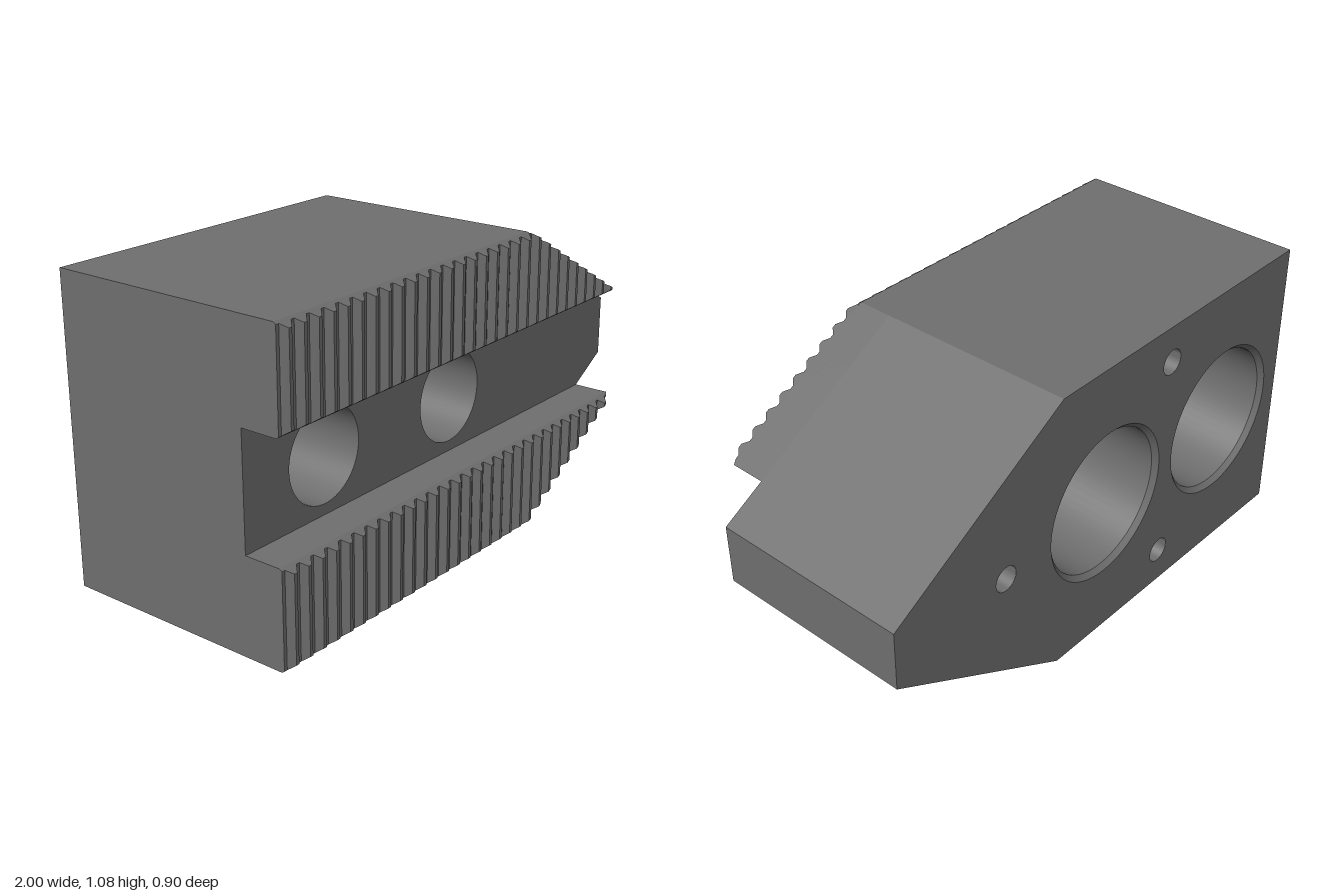
import * as THREE from 'three';
import { toCreasedNormals } from 'three/addons/utils/BufferGeometryUtils.js';

const H = 1.08, BACK = -0.45, GROOVE = 0.288, SHOULDER = 0.42, INNER = 0.74;
const BORES = [[-0.64, 0.54], [0.008, 0.54]];
const PINS = [[-0.315, 0.94], [-0.315, 0.14], [0.513, 0.54]];
const OUTLINE = [[-1, 0], [0.25, 0], [1, 0.43], [1, 0.65], [0.25, H], [-1, H]];
const slope = x => (x < 0.25 ? H : H - (x - 0.25) * (0.43 / 0.75));

// Flat-shaded geometry from a list of corner loops, each a convex polygon
function fromPolygons(polygons) {
  const pos = [];
  for (const p of polygons)
    for (let i = 1; i < p.length - 1; i++) pos.push(...p[0], ...p[i], ...p[i + 1]);
  const g = new THREE.BufferGeometry();
  g.setAttribute('position', new THREE.Float32BufferAttribute(pos, 3));
  g.computeVertexNormals();
  return g;
}

// Pointed plate outline with round holes [x, y, r]
function plateFace(holes) {
  const shape = new THREE.Shape(OUTLINE.map(p => new THREE.Vector2(...p)));
  for (const [x, y, r] of holes) {
    const hole = new THREE.Path();
    hole.absarc(x, y, r, 0, Math.PI * 2, true);
    shape.holes.push(hole);
  }
  return new THREE.ShapeGeometry(shape, 32);
}

// Turned hole lining; profile is [radius, z]
function lining(profile, segments) {
  const g = new THREE.LatheGeometry(profile.map(p => new THREE.Vector2(...p)), segments);
  g.rotateX(Math.PI / 2);
  return toCreasedNormals(g, 0.5);
}

// Serrated clamping rib; the lower one is the upper one mirrored in y
function ribGeometry(lower) {
  const pitch = 0.0625, end = 0.25 + (H - INNER) * 0.75 / 0.43;
  const columns = [];
  for (let i = 0; i < 30; i++) {
    const x = -1 + i * pitch;
    for (const [f, z] of [[0, 0.43], [0.2, 0.43], [0.5, 0.45], [0.7, 0.45]])
      if (x + f * pitch < end - 0.005) columns.push([x + f * pitch, z]);
  }
  columns.push([end, SHOULDER]);
  const sections = columns.map(([x, toothZ]) => {
    // Near the pointed end the chamfer runs out before the full tooth height
    const top = slope(x), z = Math.min(toothZ, SHOULDER + (top - INNER) / 0.667);
    const inset = (z - SHOULDER) * 0.667;
    const lo = INNER + inset, hi = Math.max(lo, Math.min(H - inset, top));
    return [[INNER, GROOVE], [INNER, SHOULDER], [lo, z], [hi, z], [top, SHOULDER], [top, GROOVE]]
      .map(([y, pz]) => [x, lower ? H - y : y, pz]);
  });
  const polygons = [sections[0]];
  for (let i = 0; i < sections.length - 1; i++) {
    const a = sections[i], b = sections[i + 1];
    for (let j = 0; j < 5; j++) polygons.push([a[j], b[j], b[j + 1], a[j + 1]]);
  }
  return fromPolygons(lower ? polygons.map(p => [...p].reverse()) : polygons);
}

export function createModel() {
  const group = new THREE.Group();
  const solid = new THREE.MeshStandardMaterial({ color: 0x6f6f6f });
  const inside = new THREE.MeshStandardMaterial({ color: 0x6f6f6f, side: THREE.DoubleSide });
  const add = (name, geometry, material = solid) => {
    const mesh = new THREE.Mesh(geometry, material);
    mesh.name = name;
    group.add(mesh);
    return mesh;
  };

  // Jaw body: front and back faces joined by the outer walls
  add('grooveFace', plateFace(BORES.map(b => [...b, 0.163]))).position.z = GROOVE;
  const back = plateFace([...BORES.map(b => [...b, 0.288]), ...PINS.map(p => [...p, 0.047])]);
  const index = back.index.array;
  for (let i = 0; i < index.length; i += 3) [index[i], index[i + 1]] = [index[i + 1], index[i]];
  back.computeVertexNormals();
  add('backFace', back).position.z = BACK;
  add('outerWalls', fromPolygons(OUTLINE.map((p, i) => {
    const q = OUTLINE[(i + 1) % OUTLINE.length];
    return [[...p, BACK], [...q, BACK], [...q, GROOVE], [...p, GROOVE]];
  })));

  // Counterbored bolt holes with a chamfered mouth
  const bore = lining([[0.288, BACK], [0.27, BACK + 0.018], [0.27, 0], [0.163, 0], [0.163, GROOVE]], 64);
  for (const [x, y] of BORES) add('boltHole', bore, inside).position.set(x, y, 0);

  // Blind pin holes in the back
  const pin = lining([[0.047, BACK], [0.047, BACK + 0.3], [0, BACK + 0.3]], 32);
  for (const [x, y] of PINS) add('pinHole', pin, inside).position.set(x, y, 0);

  // Serrated ribs above and below the groove
  add('upperRib', ribGeometry(false));
  add('lowerRib', ribGeometry(true));
  return group;
}
